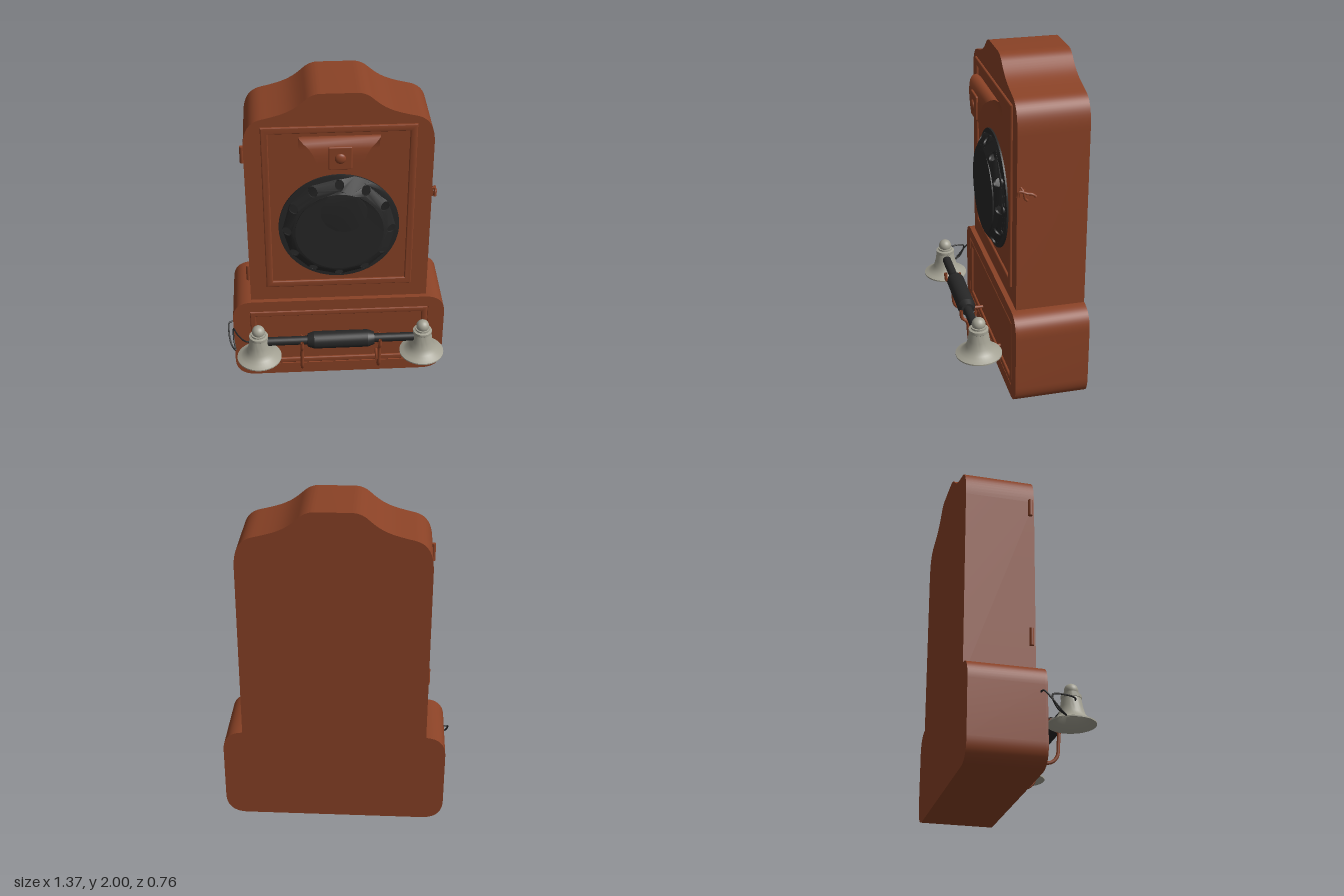
import * as THREE from 'three';
import { toCreasedNormals } from 'three/addons/utils/BufferGeometryUtils.js';
import { RoundedBoxGeometry } from 'three/addons/geometries/RoundedBoxGeometry.js';

const CX = 0.015; // the cabinet is slightly off centre because of the cord
const V2 = (x, y) => new THREE.Vector2(x, y);
const V3 = (x, y, z) => new THREE.Vector3(x, y, z);

function roundedRect(w, h, r, cy) {
  const s = new THREE.Shape(), x = w / 2, y0 = cy - h / 2, y1 = cy + h / 2;
  s.moveTo(-x + r, y0).lineTo(x - r, y0);
  s.quadraticCurveTo(x, y0, x, y0 + r).lineTo(x, y1 - r);
  s.quadraticCurveTo(x, y1, x - r, y1).lineTo(-x + r, y1);
  s.quadraticCurveTo(-x, y1, -x, y1 - r).lineTo(-x, y0 + r);
  s.quadraticCurveTo(-x, y0, -x + r, y0);
  return s;
}

function rect(w, h, cy, Type = THREE.Shape) {
  const x = w / 2, y = h / 2;
  return new Type([V2(-x, cy - y), V2(x, cy - y), V2(x, cy + y), V2(-x, cy + y)]);
}

function extrude(shape, z0, z1, bevel = 0) {
  const g = new THREE.ExtrudeGeometry(shape, {
    depth: z1 - z0 - bevel, curveSegments: 14, bevelEnabled: bevel > 0,
    bevelSize: bevel, bevelThickness: bevel, bevelOffset: -bevel, bevelSegments: 3,
  });
  return toCreasedNormals(g.translate(CX, 0, z0), 0.6);
}

export function createModel() {
  const group = new THREE.Group();
  const material = (name, color, side = THREE.FrontSide) => {
    const m = new THREE.MeshStandardMaterial({ color, side });
    m.name = name;
    return m;
  };
  const wood = material('redBrownWood', 0x8a4226, THREE.DoubleSide);
  const black = material('black', 0x272727, THREE.DoubleSide);
  const metal = material('greyMetal', 0xa3a193, THREE.DoubleSide);

  const add = (name, geometry, mat, x = 0, y = 0, z = 0) => {
    const mesh = new THREE.Mesh(geometry, mat);
    mesh.name = name;
    mesh.position.set(x, y, z);
    group.add(mesh);
    return mesh;
  };
  const wire = (name, points, radius, mat, segments = 40) =>
    add(name, new THREE.TubeGeometry(new THREE.CatmullRomCurve3(points), segments, radius, 8), mat);

  // Upper cabinet with a shaped crest
  const crest = new THREE.Shape();
  crest.moveTo(-0.547, 0.5).lineTo(0.547, 0.5).lineTo(0.547, 1.66);
  crest.bezierCurveTo(0.547, 1.78, 0.51, 1.83, 0.44, 1.848);
  crest.bezierCurveTo(0.3, 1.88, 0.26, 1.9, 0.19, 1.963);
  crest.quadraticCurveTo(0.15, 2, 0.1, 2).lineTo(-0.1, 2);
  crest.quadraticCurveTo(-0.15, 2, -0.19, 1.963);
  crest.bezierCurveTo(-0.26, 1.9, -0.3, 1.88, -0.44, 1.848);
  crest.bezierCurveTo(-0.51, 1.83, -0.547, 1.78, -0.547, 1.66);
  add('upperCabinet', extrude(crest, -0.38, 0.03), wood);

  // Base box with a shallow framed recess
  add('baseBox', extrude(roundedRect(1.33, 0.585, 0.13, 0.2925), -0.38, 0.048), wood);
  const rim = roundedRect(1.33, 0.585, 0.13, 0.2925);
  rim.holes.push(rect(1.125, 0.43, 0.295, THREE.Path));
  add('baseFrontRim', extrude(rim, 0.048, 0.06), wood);

  // Raised mouldings on the door and the base
  const moulding = (name, w, h, cy, width, z0, z1) => {
    const s = rect(w, h, cy);
    s.holes.push(rect(w - width * 2, h - width * 2, cy, THREE.Path));
    add(name, extrude(s, z0, z1, 0.008), wood);
  };
  moulding('doorMoulding', 0.893, 1.115, 1.2425, 0.042, 0.03, 0.044);
  moulding('baseMoulding', 1.115, 0.42, 0.295, 0.036, 0.046, 0.062);

  // Sloping dial ring with twelve finger holes, bent from a flat strip
  const N = 96, TAU = Math.PI * 2, r0 = 0.262, r1 = 0.36;
  const strip = new THREE.Shape();
  for (let i = 0; i <= N; i++) strip.lineTo((i / N) * TAU, r0);
  for (let i = N; i >= 0; i--) strip.lineTo((i / N) * TAU, r1);
  strip.curves.shift();
  for (let k = 0; k < 12; k++) {
    const hole = [];
    for (let j = 0; j < 16; j++) {
      const a = (j / 16) * TAU;
      hole.push(V2(((k + 0.5) / 12) * TAU + Math.cos(a) * 0.027 / 0.31, 0.31 + Math.sin(a) * 0.027));
    }
    strip.holes.push(new THREE.Path(hole));
  }
  const ring = new THREE.ExtrudeGeometry(new THREE.Shape(strip.getPoints(1)), { depth: 0.001, bevelEnabled: false });
  ring.dispose();
  const dial = new THREE.ExtrudeGeometry(strip, { depth: 0.012, bevelEnabled: false });
  const p = dial.attributes.position;
  for (let i = 0; i < p.count; i++) {
    const u = p.getX(i) + TAU / 24, r = p.getY(i);
    const slope = 0.028 + 0.06 * Math.min(1, (r1 - r) / (r1 - 0.27));
    p.setXYZ(i, r * Math.sin(u), r * Math.cos(u), slope + p.getZ(i));
  }
  dial.computeVertexNormals();
  add('dialRing', toCreasedNormals(dial, 0.5), black, CX, 1.12, 0);
  const disc = add('dialCentre', new THREE.CylinderGeometry(0.266, 0.266, 0.058, 64), black, CX, 1.12, 0.06);
  disc.rotation.x = Math.PI / 2;

  // Bent sheet bracket above the dial: [z, y, half width]
  const path = [
    [0.036, 1.64, 0.19], [0.036, 1.647, 0.22], [0.036, 1.665, 0.233], [0.04, 1.71, 0.233],
    [0.055, 1.745, 0.233], [0.08, 1.762, 0.233], [0.105, 1.757, 0.228], [0.125, 1.738, 0.205],
    [0.136, 1.71, 0.175], [0.142, 1.67, 0.15], [0.142, 1.62, 0.133], [0.142, 1.59, 0.12], [0.142, 1.58, 0.105],
  ];
  const pos = [], idx = [];
  path.forEach(([z, y, w], i) => {
    pos.push(-w, y, z, w, y, z);
    const a = i * 2;
    if (i) idx.push(a - 2, a, a - 1, a - 1, a, a + 1);
  });
  const sheet = new THREE.BufferGeometry();
  sheet.setAttribute('position', new THREE.Float32BufferAttribute(pos, 3));
  sheet.setIndex(idx.reverse());
  sheet.computeVertexNormals();
  add('bracket', sheet, wood, CX);
  add('bracketPad', new RoundedBoxGeometry(0.135, 0.145, 0.016, 3, 0.007), wood, CX, 1.655, 0.145);
  const knob = add('bracketKnob', new THREE.SphereGeometry(0.032, 20, 14), wood, CX, 1.655, 0.152);
  knob.scale.z = 0.5;

  // Hinges on the right side
  for (const y of [1.615, 0.78]) {
    add('hinge', new THREE.CylinderGeometry(0.013, 0.013, 0.105, 14), wood, -0.541, y, 0.005);
  }

  // Door latch on the left side
  add('latchPlate', new THREE.BoxGeometry(0.012, 0.05, 0.03), wood, 0.567, 1.325, 0.0);
  wire('latchHook', [V3(0.58, 1.31, 0.035), V3(0.585, 1.345, 0.02), V3(0.585, 1.33, -0.02),
    V3(0.59, 1.325, -0.05), V3(0.59, 1.31, -0.07)], 0.008, wood, 20);
  wire('latchCurl', [V3(0.565, 1.36, 0.01), V3(0.583, 1.345, 0), V3(0.583, 1.3, -0.01),
    V3(0.58, 1.285, -0.025)], 0.007, wood, 16);

  // Cradle hooks, each with a fork round the handle
  for (const x of [CX - 0.24, CX + 0.24]) {
    wire('cradleHook', [V3(x, 0.16, 0.04), V3(x, 0.162, 0.14), V3(x, 0.172, 0.205), V3(x, 0.21, 0.238),
      V3(x, 0.28, 0.246), V3(x, 0.36, 0.255), V3(x, 0.39, 0.285), V3(x, 0.44, 0.291)], 0.0105, wood);
    wire('cradleProng', [V3(x, 0.35, 0.25), V3(x, 0.38, 0.215), V3(x, 0.43, 0.198)], 0.009, wood, 12);
  }

  // Handset: rod and thick grip
  const HY = 0.42, HZ = 0.242;
  const rod = add('handsetRod', new THREE.CylinderGeometry(0.027, 0.027, 0.98, 24), black, CX, HY, HZ);
  rod.rotation.z = Math.PI / 2;
  const gripProfile = [[0.026, -0.207], [0.04, -0.205], [0.054, -0.165], [0.054, 0.165], [0.04, 0.205], [0.026, 0.207]];
  const grip = add('handsetGrip', toCreasedNormals(
    new THREE.LatheGeometry(gripProfile.map(q => V2(...q)), 32), 0.3), black, CX, HY, HZ);
  grip.rotation.z = Math.PI / 2;

  // Hollow bells at both ends, with ball tops
  const bellProfile = [[0, 0.41], [0.04, 0.4], [0.055, 0.36], [0.085, 0.33], [0.13, 0.302], [0.137, 0.3],
    [0.137, 0.308], [0.115, 0.318], [0.093, 0.333], [0.075, 0.36], [0.064, 0.4], [0.056, 0.45],
    [0.058, 0.452], [0.058, 0.47], [0.045, 0.474], [0.045, 0.485], [0.02, 0.488]];
  for (const x of [CX - 0.505, CX + 0.505]) {
    add('bell', toCreasedNormals(new THREE.LatheGeometry(bellProfile.map(q => V2(...q)), 40), 0.6), metal, x, 0, HZ);
    add('bellBall', new THREE.SphereGeometry(0.04, 24, 16), metal, x, 0.501, HZ);
  }

  // Looping cord from the handset into the base
  wire('cord', [V3(-0.5, 0.42, 0.245), V3(-0.57, 0.425, 0.24), V3(-0.62, 0.42, 0.17), V3(-0.65, 0.4, 0.085),
    V3(-0.65, 0.33, 0.11), V3(-0.64, 0.295, 0.165), V3(-0.665, 0.31, 0.13), V3(-0.68, 0.37, 0.07),
    V3(-0.675, 0.41, 0.03), V3(-0.64, 0.41, 0.02)], 0.005, black, 90);

  return group;
}
